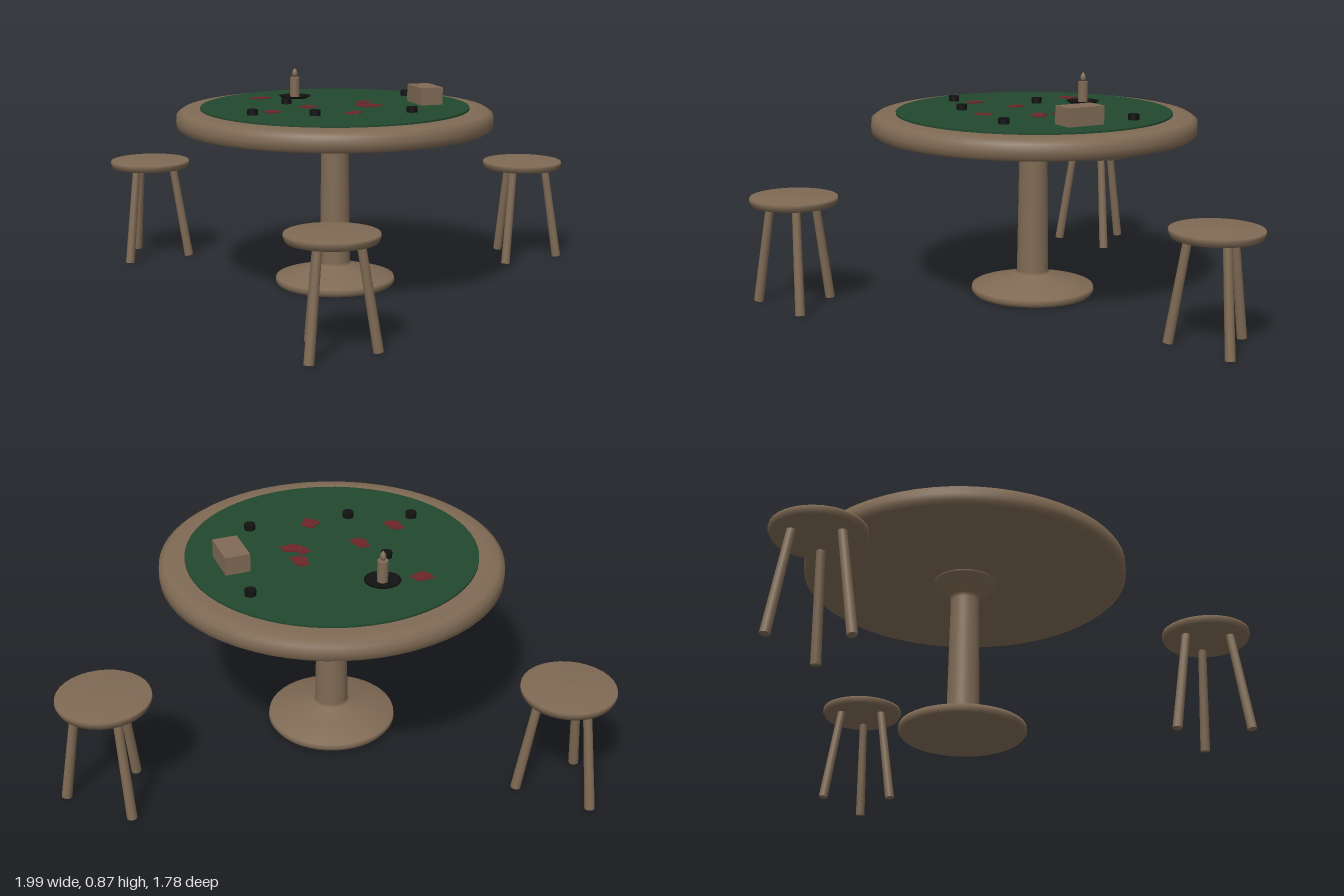
import * as THREE from 'three';

const mat = (name, color) => {
  const m = new THREE.MeshStandardMaterial({ color });
  m.name = name;
  return m;
};

export function createModel() {
  const wood = mat('wood', 0x7f6a54);
  const felt = mat('green felt', 0x22482e);
  const black = mat('black', 0x121212);
  const red = mat('card red', 0x6e262a);

  const model = new THREE.Group();
  model.name = 'cardTableSet';

  const add = (parent, name, geometry, material, x = 0, y = 0, z = 0, turn = 0) => {
    const mesh = new THREE.Mesh(geometry, material);
    mesh.name = name;
    mesh.position.set(x, y, z);
    mesh.rotation.y = turn;
    parent.add(mesh);
    return mesh;
  };
  const lathe = (points, sides = 48) =>
    new THREE.LatheGeometry(points.map(([r, y]) => new THREE.Vector2(r, y)), sides);

  // Table: rounded top, felt inlay and turned pedestal
  const table = new THREE.Group();
  table.name = 'table';
  table.position.set(-0.02, 0, -0.233);
  model.add(table);
  add(table, 'tableTop', lathe([
    [0, 0.653], [0.58, 0.653], [0.622, 0.655], [0.638, 0.667], [0.64, 0.69],
    [0.638, 0.718], [0.618, 0.732], [0.57, 0.737], [0, 0.737],
  ], 64), wood);
  add(table, 'feltInlay', new THREE.CylinderGeometry(0.543, 0.543, 0.012, 64), felt, 0, 0.738, 0);
  add(table, 'pedestal', lathe([
    [0, 0.006], [0.236, 0.006], [0.246, 0.02], [0.243, 0.037], [0.15, 0.063], [0.068, 0.088],
    [0.063, 0.1], [0.056, 0.57], [0.06, 0.587], [0.123, 0.645], [0.123, 0.655],
  ]), wood);

  // Three stools, each with three splayed legs
  const seatGeometry = lathe([
    [0, 0.405], [0.164, 0.406], [0.172, 0.425], [0.17, 0.435], [0, 0.441],
  ], 32);
  const up = new THREE.Vector3(0, 1, 0);
  [[-0.83, -0.727], [0.81, -0.687], [-0.043, 0.714]].forEach(([x, z]) => {
    const stool = new THREE.Group();
    stool.name = 'stool';
    stool.position.set(x, 0, z);
    add(stool, 'seat', seatGeometry, wood);
    for (let i = 0; i < 3; i++) {
      const a = (i * Math.PI * 2) / 3;
      const foot = new THREE.Vector3(Math.cos(a) * 0.163, 0.004, Math.sin(a) * 0.163);
      const head = new THREE.Vector3(Math.cos(a) * 0.098, 0.415, Math.sin(a) * 0.098);
      const dir = head.clone().sub(foot);
      const mid = foot.clone().add(head).multiplyScalar(0.5);
      const leg = add(stool, 'stoolLeg',
        new THREE.CylinderGeometry(0.016, 0.019, dir.length(), 12), wood, mid.x, mid.y, mid.z);
      leg.quaternion.setFromUnitVectors(up, dir.normalize());
    }
    model.add(stool);
  });

  // Candle on a black dish
  const candle = new THREE.Group();
  candle.name = 'candle';
  candle.position.set(-0.185, 0.743, -0.48);
  model.add(candle);
  add(candle, 'dish', lathe([[0, 0], [0.05, 0], [0.067, 0.01], [0.06, 0.011], [0.045, 0.006], [0, 0.006]], 32), black);
  add(candle, 'candleStick', new THREE.CylinderGeometry(0.02, 0.02, 0.084, 20), wood, 0, 0.046, 0);
  add(candle, 'flame', lathe([[0, 0.086], [0.008, 0.091], [0.012, 0.102], [0.009, 0.115], [0, 0.127]], 12), wood);

  // Card box
  add(model, 'cardBox', new THREE.BoxGeometry(0.094, 0.071, 0.155), wood, 0.35, 0.779, -0.315, 0.31);

  // Small stacks of chips
  const chipGeometry = new THREE.CylinderGeometry(0.021, 0.021, 0.022, 20);
  [[0.285, -0.545], [-0.217, -0.294], [0.28, -0.043], [-0.342, 0.024], [-0.1, 0.04]].forEach(
    ([x, z]) => add(model, 'chipStack', chipGeometry, black, x, 0.755, z));

  // Pairs of overlapping cards
  const cardGeometry = new THREE.BoxGeometry(0.042, 0.003, 0.062);
  [
    [-0.33, -0.455, 1.9], [0.1, -0.315, 0.1], [0.1, -0.225, 0.7], [0.128, -0.215, 1.6],
    [-0.13, -0.187, 0.2], [-0.27, -0.048, 0.3], [0.05, -0.016, -0.6],
  ].forEach(([x, z, turn]) => {
    add(model, 'card', cardGeometry, red, x - 0.007, 0.7455, z, turn);
    add(model, 'card', cardGeometry, red, x + 0.007, 0.748, z + 0.004, turn + 0.35);
  });

  return model;
}
